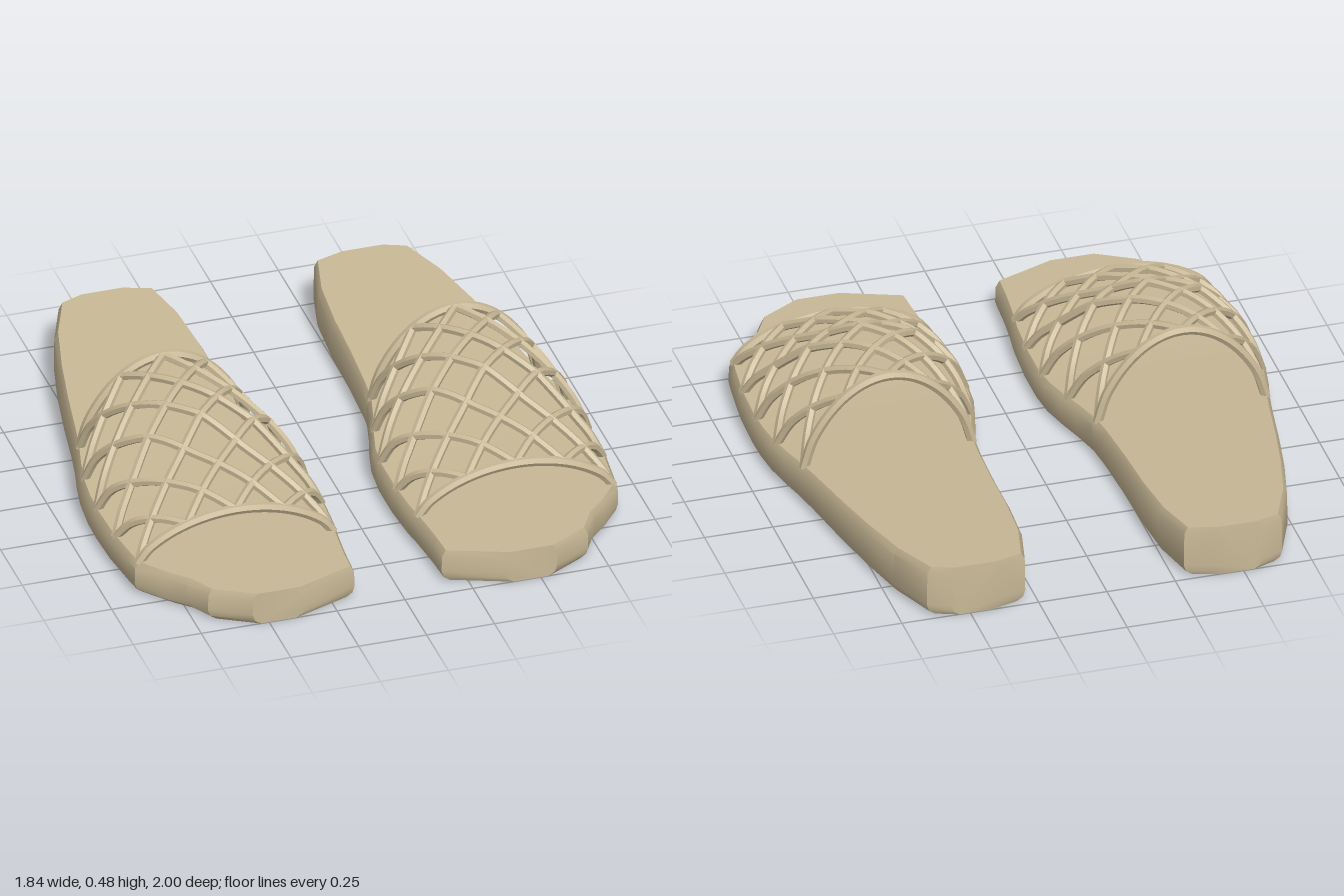
import * as THREE from 'three';
import { toCreasedNormals } from 'three/addons/utils/BufferGeometryUtils.js';

// Sole outline: z, inner x, outer x
const OUTLINE = [
  [-1, 0.39, 0.57], [-0.97, 0.29, 0.65], [-0.8, 0.25, 0.72], [-0.6, 0.235, 0.77],
  [-0.4, 0.23, 0.81], [-0.2, 0.22, 0.845], [-0.1, 0.21, 0.865], [0, 0.185, 0.89],
  [0.1, 0.155, 0.91], [0.2, 0.13, 0.92], [0.3, 0.12, 0.922], [0.45, 0.12, 0.917],
  [0.6, 0.13, 0.9], [0.67, 0.14, 0.89], [0.77, 0.15, 0.81], [0.83, 0.155, 0.75],
  [0.92, 0.16, 0.7], [1, 0.37, 0.56],
];
// Footbed height and strap crown height along z
const FOOTBED = [[-1, 0.195], [-0.12, 0.147], [0.3, 0.126], [1, 0.124]];
const CROWN = [[-0.11, 0.46], [0.15, 0.455], [0.28, 0.435], [0.4, 0.365], [0.55, 0.32], [0.66, 0.268]];
const BACK = -0.11, FRONT = 0.66, CELLS = 4;

// Linear lookup of a column in a table keyed by its first column
function lookup(table, z, col = 1) {
  for (let i = 1; i < table.length; i++) {
    const a = table[i - 1], b = table[i];
    if (z <= b[0]) return THREE.MathUtils.mapLinear(Math.max(z, a[0]), a[0], b[0], a[col], b[col]);
  }
  return table[table.length - 1][col];
}

// Sole lofted through rounded cross-sections from heel to toe
function soleGeometry(side) {
  const pos = [], index = [];
  const n = 10;
  const tri = (a, b, c) => (side > 0 ? index.push(a, b, c) : index.push(a, c, b));
  for (const [z, inner, outer] of OUTLINE) {
    const top = lookup(FOOTBED, z);
    const rim = [[0.03, 0], [0.008, 0.015], [0, 0.04], [0.002, top - 0.025], [0.016, top]];
    for (const [inset, y] of rim) pos.push(side * (outer - inset), y, z);
    for (const [inset, y] of [...rim].reverse()) pos.push(side * (inner + inset), y, z);
  }
  const last = (OUTLINE.length - 1) * n;
  for (let r = 0; r < last; r += n) {
    for (let j = 0; j < n; j++) {
      const k = (j + 1) % n;
      tri(r + j, r + k, r + n + k);
      tri(r + j, r + n + k, r + n + j);
    }
  }
  for (let j = 1; j < n - 1; j++) {
    tri(0, j + 1, j);
    tri(last, last + j, last + j + 1);
  }
  const geo = new THREE.BufferGeometry();
  geo.setAttribute('position', new THREE.Float32BufferAttribute(pos, 3));
  geo.setIndex(index);
  return toCreasedNormals(geo, 0.5);
}

// Point on the arched strap: u runs across the foot, v from back to front
function strapPoint(side, u, v) {
  const z = THREE.MathUtils.lerp(BACK, FRONT, v);
  const x = THREE.MathUtils.lerp(lookup(OUTLINE, z, 1) + 0.018, lookup(OUTLINE, z, 2) - 0.018, u);
  const foot = lookup(FOOTBED, z) - 0.012;
  const arch = Math.pow(Math.max(0, 1 - (2 * u - 1) ** 2), 0.7);
  return new THREE.Vector3(side * x, foot + (lookup(CROWN, z) - foot) * arch, z);
}

// Rod following the strap between two (u, v) positions
function rodGeometry(side, [u0, v0], [u1, v1], radius) {
  const steps = Math.max(4, Math.round(20 * Math.abs(u1 - u0)));
  const pts = [];
  for (let i = 0; i <= steps; i++) {
    const t = i / steps;
    pts.push(strapPoint(side, THREE.MathUtils.lerp(u0, u1, t), THREE.MathUtils.lerp(v0, v1, t)));
  }
  const curve = new THREE.CatmullRomCurve3(pts);
  return toCreasedNormals(new THREE.TubeGeometry(curve, steps * 2, radius, 6), 0.8);
}

function createSandal(side, material) {
  const sandal = new THREE.Group();
  sandal.name = side > 0 ? 'leftSandal' : 'rightSandal';
  const add = (parent, name, geometry) => {
    const mesh = new THREE.Mesh(geometry, material);
    mesh.name = name;
    parent.add(mesh);
  };
  add(sandal, 'sole', soleGeometry(side));

  const strap = new THREE.Group();
  strap.name = 'strap';
  sandal.add(strap);
  add(strap, 'backRim', rodGeometry(side, [0, 0], [1, 0], 0.018));
  add(strap, 'frontRim', rodGeometry(side, [0, 1], [1, 1], 0.018));

  // Two crossing families of diagonal rods
  for (let k = 1; k < 2 * CELLS; k++) {
    const s = k / CELLS;
    const lo = Math.max(0, s - 1), hi = Math.min(1, s);
    add(strap, 'latticeRod', rodGeometry(side, [lo, s - lo], [hi, s - hi], 0.016));
    add(strap, 'latticeRod', rodGeometry(side, [1 - lo, s - lo], [1 - hi, s - hi], 0.016));
  }
  return sandal;
}

export function createModel() {
  const tan = new THREE.MeshStandardMaterial({ color: 0xc8b896 });
  tan.name = 'tan';
  const model = new THREE.Group();
  model.name = 'sandals';
  model.add(createSandal(1, tan), createSandal(-1, tan));
  return model;
}
